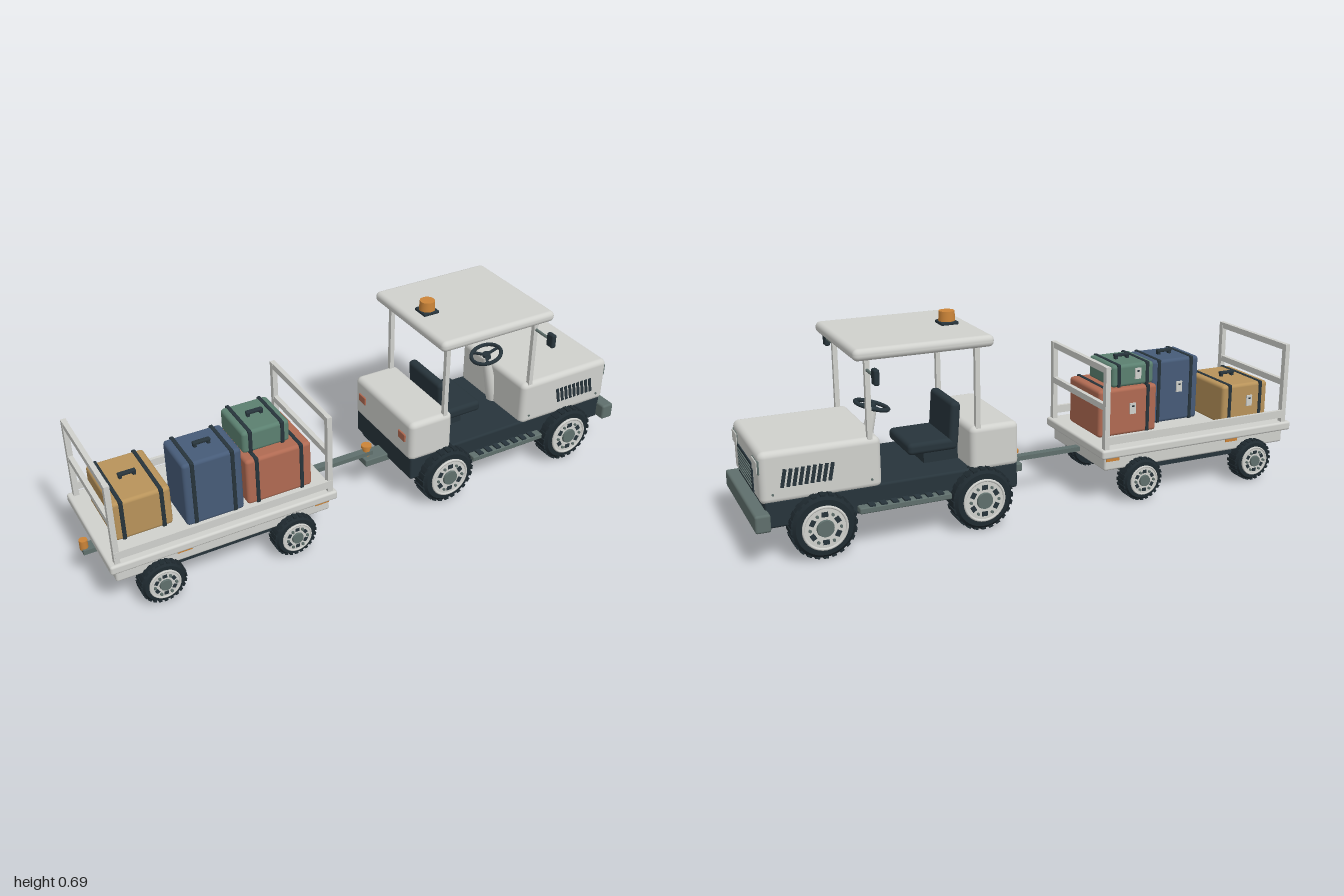
import * as THREE from 'three';
import { toCreasedNormals } from 'three/addons/utils/BufferGeometryUtils.js';
import { RoundedBoxGeometry } from 'three/addons/geometries/RoundedBoxGeometry.js';

const paint = (name, color) => {
  const m = new THREE.MeshStandardMaterial({ color });
  m.name = name;
  return m;
};

export function createModel() {
  const light = paint('light grey paint', 0xd0d1cd);
  const dark = paint('dark slate', 0x27343b);
  const steel = paint('green grey steel', 0x5f6f6c);
  const rubber = paint('tyre rubber', 0x1f2a30);
  const amber = paint('amber', 0xcb8438);
  const tan = paint('tan case', 0xb8935a);
  const blue = paint('blue case', 0x465b78);
  const rust = paint('rust case', 0xb06a52);
  const green = paint('green case', 0x5b8070);

  const model = new THREE.Group();
  model.name = 'baggageTugAndCart';
  const tug = new THREE.Group(), cart = new THREE.Group();
  tug.name = 'tug';
  cart.name = 'cart';
  model.add(tug, cart);

  const add = (parent, name, geo, mat, x = 0, y = 0, z = 0) => {
    const m = new THREE.Mesh(geo, mat);
    m.name = name;
    m.position.set(x, y, z);
    parent.add(m);
    return m;
  };
  // Box from its limits, with rounded edges when r > 0
  const box = (parent, name, mat, x0, x1, y0, y1, z0, z1, r = 0) => {
    const s = [x1 - x0, y1 - y0, z1 - z0];
    const geo = r ? new RoundedBoxGeometry(...s, 3, r) : new THREE.BoxGeometry(...s);
    return add(parent, name, geo, mat, (x0 + x1) / 2, (y0 + y1) / 2, (z0 + z1) / 2);
  };
  const cyl = (r0, r1, h, n = 24) => new THREE.CylinderGeometry(r0, r1, h, n);
  const cylZ = (r0, r1, h, n = 24) => cyl(r0, r1, h, n).rotateX(Math.PI / 2);

  // Wheel with tread blocks, pale rim, slots and lug nuts; outer face at +z
  const wheel = (parent, name, x, z, r, w) => {
    const g = new THREE.Group();
    g.name = name;
    g.position.set(x, r, z);
    if (z < 0) g.rotation.y = Math.PI;
    parent.add(g);
    const h = w / 2, q = r * 0.97;
    const profile = [[0, -h], [q * 0.88, -h], [q, -h + 0.012], [q, h - 0.012], [q * 0.88, h], [0, h]]
      .map(p => new THREE.Vector2(...p));
    const tyre = toCreasedNormals(new THREE.LatheGeometry(profile, 40).rotateX(Math.PI / 2), 0.5);
    add(g, 'tyre', tyre, rubber);
    for (let i = 0; i < 24; i++) {
      const a = i / 24 * Math.PI * 2;
      const b = add(g, 'treadBlock', new THREE.BoxGeometry(r * 0.14, r * 0.06, w * 0.84), rubber,
        -Math.sin(a) * r * 0.965, Math.cos(a) * r * 0.965, 0);
      b.rotation.z = a;
    }
    add(g, 'rim', cylZ(r * 0.68, r * 0.68, 0.008, 36), light, 0, 0, h + 0.001);
    add(g, 'rimLip', new THREE.TorusGeometry(r * 0.65, r * 0.045, 8, 36), light, 0, 0, h + 0.004);
    add(g, 'hub', cylZ(r * 0.25, r * 0.28, 0.012), steel, 0, 0, h + 0.006);
    for (let i = 0; i < 6; i++) {
      const a = (i + 0.5) * Math.PI / 3, c = Math.cos(a), s = Math.sin(a);
      const slot = add(g, 'rimSlot', new THREE.BoxGeometry(r * 0.15, r * 0.19, 0.004), dark,
        c * r * 0.43, s * r * 0.43, h + 0.005);
      slot.rotation.z = a;
      const b = a + Math.PI / 6;
      add(g, 'lugNut', cylZ(0.005, 0.005, 0.01, 6), steel,
        Math.cos(b) * r * 0.46, Math.sin(b) * r * 0.46, h + 0.007);
    }
  };

  // Tug body
  box(tug, 'chassis', dark, 0.125, 0.96, 0.115, 0.205, -0.187, 0.187, 0.008);
  box(tug, 'hood', light, 0.59, 0.972, 0.192, 0.36, -0.19, 0.19, 0.02);
  box(tug, 'rearBody', light, 0.12, 0.29, 0.192, 0.345, -0.19, 0.19, 0.02);
  box(tug, 'frontBumper', steel, 0.952, 1, 0.12, 0.178, -0.225, 0.225, 0.008);
  box(tug, 'roof', light, 0.215, 0.675, 0.612, 0.65, -0.22, 0.22, 0.017);

  // Nose: grille and headlights
  box(tug, 'grille', dark, 0.969, 0.976, 0.21, 0.303, -0.104, 0.104);
  for (let i = 0; i < 7; i++) {
    const y = 0.222 + i * 0.0115;
    box(tug, 'grilleSlat', steel, 0.974, 0.979, y, y + 0.003, -0.096, 0.096);
  }
  for (const s of [-1, 1]) {
    const side = s > 0 ? 'Left' : 'Right';
    add(tug, 'headlightFrame' + side, new RoundedBoxGeometry(0.008, 0.045, 0.071, 2, 0.003), steel, 0.97, 0.312, s * 0.146);
    add(tug, 'headlight' + side, new RoundedBoxGeometry(0.01, 0.041, 0.067, 2, 0.004), light, 0.972, 0.312, s * 0.146);
    add(tug, 'tailLight' + side, new RoundedBoxGeometry(0.009, 0.03, 0.045, 2, 0.003), rust, 0.119, 0.275, s * 0.135);

    // Slanted hood vents
    for (let i = 0; i < 9; i++) {
      const v = add(tug, 'hoodVent' + side, new THREE.BoxGeometry(0.011, 0.058, 0.005), dark,
        0.752 + i * 0.0185, 0.273, s * 0.1905);
      v.rotation.z = 0.2;
    }
    // Hood bolts
    for (const x of [0.625, 0.935])
      add(tug, 'hoodBolt', cylZ(0.004, 0.004, 0.004, 8), steel, x, 0.225, s * 0.191);

    // Running boards
    box(tug, 'runningBoard' + side, steel, 0.37, 0.675, 0.125, 0.145, s * 0.2 - 0.018, s * 0.2 + 0.018, 0.004);
    for (let i = 0; i < 7; i++) {
      const x = 0.395 + i * 0.038;
      box(tug, 'stepGrip', dark, x, x + 0.02, 0.144, 0.15, s * 0.2 - 0.016, s * 0.2 + 0.016);
    }

    // Roof posts and mirrors
    box(tug, 'rearPost' + side, light, 0.254, 0.27, 0.33, 0.62, s * 0.177 - 0.008, s * 0.177 + 0.008);
    box(tug, 'frontPost' + side, light, 0.616, 0.632, 0.35, 0.62, s * 0.177 - 0.008, s * 0.177 + 0.008);
    add(tug, 'mirrorArm' + side, cylZ(0.005, 0.005, 0.085, 10), steel, 0.625, 0.576, s * 0.212);
    add(tug, 'mirror' + side, new RoundedBoxGeometry(0.018, 0.05, 0.034, 2, 0.006), dark, 0.625, 0.576, s * 0.268);

    for (const x of [0.262, 0.79]) wheel(tug, 'tugWheel' + side, x, s * 0.19, 0.106, 0.07);
  }

  // Beacon
  box(tug, 'beaconBase', dark, 0.262, 0.322, 0.648, 0.66, -0.031, 0.031, 0.004);
  add(tug, 'beacon', cyl(0.026, 0.028, 0.034, 28), amber, 0.292, 0.676, 0);

  // Seat
  box(tug, 'seatPedestal', dark, 0.29, 0.41, 0.2, 0.255, -0.07, 0.07);
  box(tug, 'seatCushion', dark, 0.3, 0.472, 0.247, 0.287, -0.102, 0.102, 0.014);
  const back = box(tug, 'seatBack', dark, 0.292, 0.326, 0.255, 0.408, -0.102, 0.102, 0.014);
  back.rotation.z = 0.08;

  // Steering column and wheel
  const steering = new THREE.Group();
  steering.name = 'steering';
  steering.position.set(0.558, 0.405, 0);
  steering.rotation.z = 0.3;
  tug.add(steering);
  add(steering, 'steeringWheel', new THREE.TorusGeometry(0.055, 0.007, 10, 36).rotateX(Math.PI / 2), dark);
  add(steering, 'steeringHub', cyl(0.014, 0.016, 0.02), dark, 0, -0.006, 0);
  for (let i = 0; i < 3; i++) {
    const a = i * Math.PI * 2 / 3;
    const spoke = add(steering, 'steeringSpoke', new THREE.BoxGeometry(0.05, 0.006, 0.01), dark,
      Math.cos(a) * 0.03, -0.002, -Math.sin(a) * 0.03);
    spoke.rotation.y = a;
  }
  const column = add(tug, 'steeringColumn', cyl(0.014, 0.026, 0.2, 16), light, 0.58, 0.3, 0);
  column.rotation.z = 0.25;

  // Tow hitch and drawbar
  box(tug, 'hitchPlate', steel, 0.035, 0.14, 0.106, 0.134, -0.034, 0.034, 0.004);
  add(tug, 'hitchPin', cyl(0.013, 0.013, 0.06, 16), amber, 0.056, 0.145, 0);
  add(tug, 'hitchPinHead', cyl(0.019, 0.019, 0.01, 16), amber, 0.056, 0.172, 0);
  box(cart, 'drawbar', steel, -0.21, 0.075, 0.137, 0.153, -0.014, 0.014);
  box(cart, 'rearHitch', steel, -0.995, -0.93, 0.122, 0.138, -0.022, 0.022);
  add(cart, 'rearHitchPin', cyl(0.014, 0.014, 0.035, 16), amber, -0.986, 0.15, 0);

  // Cart bed
  box(cart, 'deck', light, -0.967, -0.18, 0.17, 0.202, -0.217, 0.217, 0.008);
  box(cart, 'bedFrame', light, -0.948, -0.2, 0.12, 0.172, -0.195, 0.195, 0.008);
  for (const s of [-1, 1]) {
    const side = s > 0 ? 'Left' : 'Right';
    box(cart, 'sideRail' + side, light, -0.945, -0.195, 0.218, 0.246, s * 0.202 - 0.006, s * 0.202 + 0.006);
    box(cart, 'underRail' + side, dark, -0.74, -0.41, 0.1, 0.122, s * 0.17 - 0.01, s * 0.17 + 0.01);
    for (const x of [-0.72, -0.23])
      box(cart, 'sideReflector', amber, x - 0.025, x + 0.025, 0.155, 0.169, s * 0.196 - 0.004, s * 0.196 + 0.004);
    for (const x of [-0.805, -0.34]) wheel(cart, 'cartWheel' + side, x, s * 0.194, 0.077, 0.06);
  }
  for (const x of [-0.805, -0.34])
    add(cart, 'axle', cylZ(0.017, 0.017, 0.34, 16), steel, x, 0.077, 0);

  // End frames
  for (const x of [-0.94, -0.202]) {
    for (const z of [-0.197, 0.197])
      box(cart, 'endPost', light, x - 0.009, x + 0.009, 0.195, 0.493, z - 0.01, z + 0.01);
    for (const y of [0.482, 0.35])
      box(cart, 'endBar', light, x - 0.008, x + 0.008, y - 0.011, y + 0.011, -0.19, 0.19);
  }

  // Suitcase with two straps, buckles, handle and tag
  const suitcase = (name, mat, x0, x1, y0, y1, z0, z1) => {
    const g = new THREE.Group();
    g.name = name;
    cart.add(g);
    const cx = (x0 + x1) / 2, cz = (z0 + z1) / 2, w = x1 - x0;
    box(g, 'shell', mat, x0, x1, y0, y1, z0, z1, 0.012);
    for (const s of [-1, 1]) {
      const x = cx + s * w * 0.34;
      box(g, 'strap', dark, x - 0.007, x + 0.007, y0, y1 + 0.003, z0 - 0.003, z1 + 0.003, 0.004);
      box(g, 'handleFoot', dark, cx + s * 0.023 - 0.005, cx + s * 0.023 + 0.005, y1 - 0.002, y1 + 0.012, cz - 0.007, cz + 0.007);
    }
    box(g, 'handleGrip', dark, cx - 0.03, cx + 0.03, y1 + 0.008, y1 + 0.018, cz - 0.008, cz + 0.008, 0.003);
    const ty = y0 + (y1 - y0) * 0.55;
    box(g, 'tag', light, cx - 0.03, cx - 0.006, ty - 0.02, ty + 0.02, z0 - 0.004, z0 + 0.001);
    box(g, 'tagHole', dark, cx - 0.022, cx - 0.014, ty + 0.006, ty + 0.012, z0 - 0.006, z0 - 0.003);
  };
  suitcase('tanSuitcase', tan, -0.91, -0.715, 0.2, 0.345, -0.14, 0.105);
  suitcase('blueSuitcase', blue, -0.685, -0.485, 0.2, 0.436, -0.02, 0.146);
  suitcase('rustSuitcase', rust, -0.47, -0.235, 0.2, 0.372, -0.085, 0.14);
  suitcase('greenSuitcase', green, -0.46, -0.292, 0.374, 0.454, -0.075, 0.1);

  return model;
}
